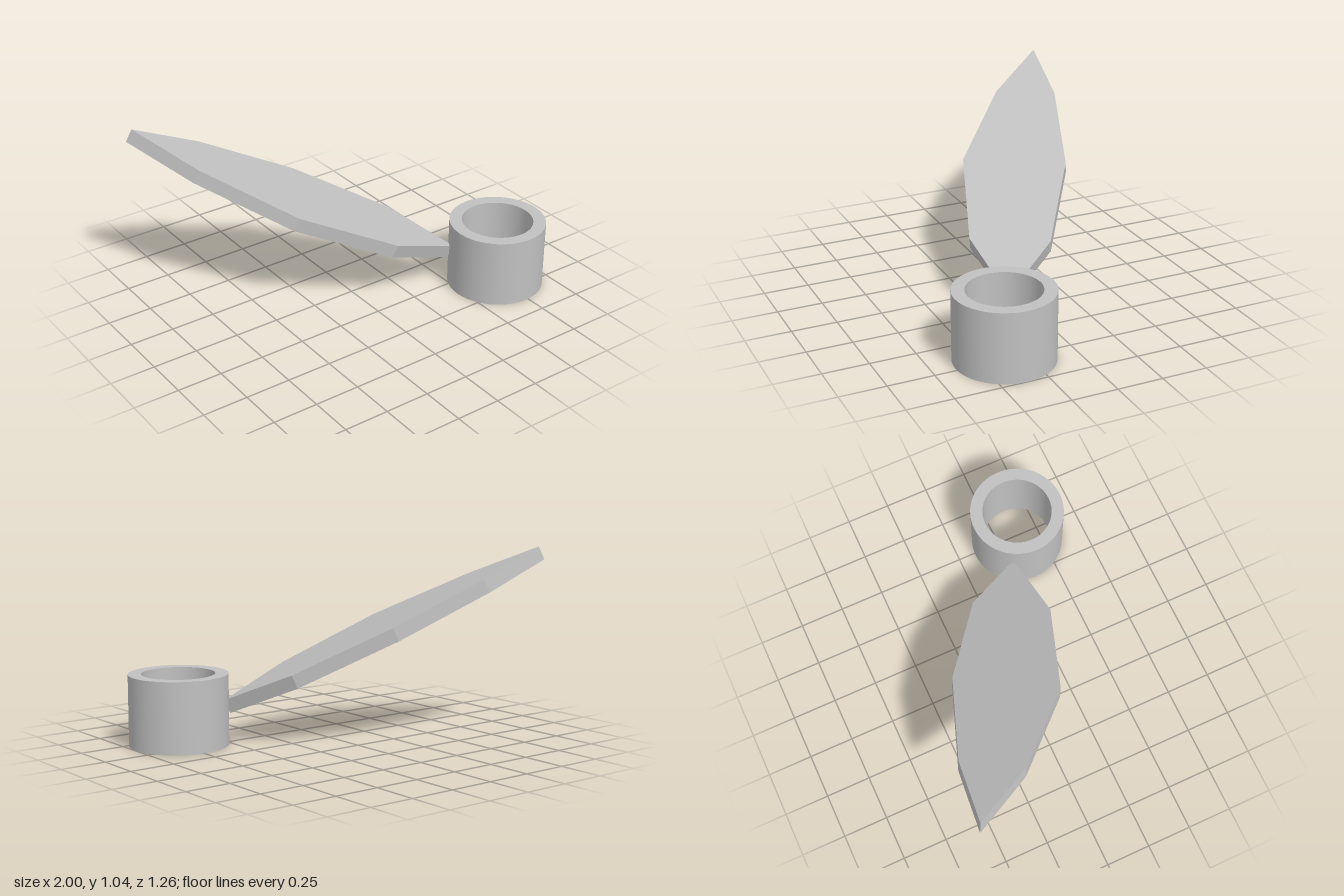
import * as THREE from 'three';
import { mergeGeometries } from 'three/addons/utils/BufferGeometryUtils.js';

const OUTER = 0.267, INNER = 0.197, HEIGHT = 0.385, THICK = 0.078;

// Hollow ring: one lathe per wall, so rims stay sharp and walls smooth
function ringGeometry() {
  const profile = [[OUTER, 0], [OUTER, HEIGHT], [INNER, HEIGHT], [INNER, 0]]
    .map(([r, y]) => new THREE.Vector2(r, y));
  return mergeGeometries(profile.map((p, i) =>
    new THREE.LatheGeometry([p, profile[(i + 1) % 4]], 64)));
}

// Leaf plate: length along +x from the base, top face at y = 0
function leafGeometry() {
  const outline = [
    [0, 0], [0.377, -0.194], [0.962, -0.243], [1.525, -0.148],
    [1.901, 0], [1.525, 0.193], [0.962, 0.331], [0.377, 0.238],
  ].map(([x, y]) => new THREE.Vector2(x, y));
  const geo = new THREE.ExtrudeGeometry(new THREE.Shape(outline), { depth: THICK, bevelEnabled: false });
  geo.translate(0, 0, -THICK);
  geo.rotateX(-Math.PI / 2);
  return geo;
}

export function createModel() {
  const model = new THREE.Group();
  const grey = new THREE.MeshStandardMaterial({ color: 0xc0c0c0 });
  grey.name = 'grey';

  const ring = new THREE.Mesh(ringGeometry(), grey);
  ring.name = 'ring';
  ring.position.set(0.733, 0, 0.365);

  // The leaf rises at 25 degrees away from the ring
  const leaf = new THREE.Mesh(leafGeometry(), grey);
  leaf.name = 'leaf';
  leaf.rotation.set(0, THREE.MathUtils.degToRad(150), THREE.MathUtils.degToRad(25), 'YZX');
  leaf.position.set(0.523, 0.232, 0.245);

  model.add(ring, leaf);
  return model;
}
